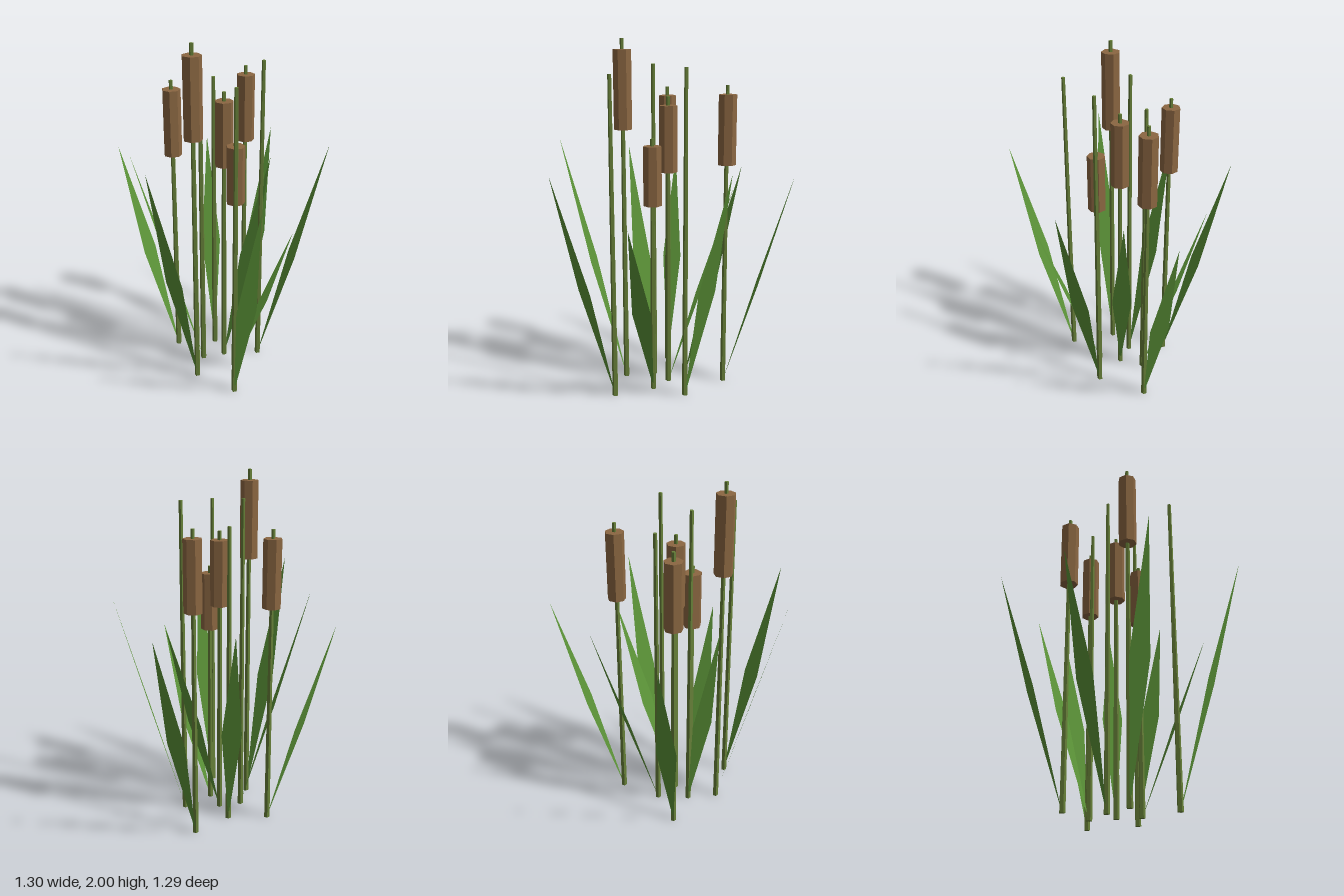
import * as THREE from 'three';

const leafGreen = new THREE.MeshStandardMaterial({ color: 0x5c9438, flatShading: true, side: THREE.DoubleSide });
leafGreen.name = 'leafGreen';
const stemGreen = new THREE.MeshStandardMaterial({ color: 0x667f38, flatShading: true });
stemGreen.name = 'stemGreen';
const seedBrown = new THREE.MeshStandardMaterial({ color: 0x8b6742, flatShading: true });
seedBrown.name = 'seedBrown';

// Each reed: base x and z, stem height, leaf tip [x, y, z], optional seed head [bottom, top]
const REEDS = [
  { x: -0.275, z: 0.045, h: 2.0, tip: [-0.65, 1.44, 0.11], head: [1.5, 1.94] },
  { x: -0.14, z: -0.275, h: 1.72, tip: [-0.24, 1.26, -0.65], head: [1.29, 1.67] },
  { x: 0.285, z: -0.12, h: 1.75, tip: [0.65, 1.26, -0.245], head: [1.31, 1.7] },
  { x: -0.015, z: 0.008, h: 1.69, tip: [0.37, 1.21, 0.008], head: [1.27, 1.64] },
  { x: -0.055, z: 0.137, h: 1.47, tip: [-0.02, 1.05, 0.525], head: [1.1, 1.43] },
  { x: 0.038, z: -0.128, h: 1.735, tip: [0.275, 1.25, -0.435] },
  { x: -0.132, z: -0.053, h: 1.86, tip: [-0.415, 1.35, -0.315] },
  { x: 0.145, z: 0.143, h: 1.855, tip: [0.475, 1.35, 0.352] },
  { x: -0.222, z: 0.303, h: 1.82, tip: [-0.4, 1.33, 0.645] },
];

// Upright cylinder standing between two heights
function upright(name, rTop, rBottom, y0, y1, sides, material) {
  const mesh = new THREE.Mesh(new THREE.CylinderGeometry(rTop, rBottom, y1 - y0, sides), material);
  mesh.position.y = (y0 + y1) / 2;
  mesh.name = name;
  return mesh;
}

// Flat pointed blade, widest halfway from the stem foot to its tip
function blade(tip) {
  const mid = tip.clone().multiplyScalar(0.5);
  const side = new THREE.Vector3(-tip.z, 0, tip.x).setLength(0.056);
  const left = mid.clone().add(side);
  const right = mid.clone().sub(side);
  const foot = new THREE.Vector3();
  const geometry = new THREE.BufferGeometry().setFromPoints([foot, right, tip, foot, tip, left]);
  geometry.computeVertexNormals();
  const mesh = new THREE.Mesh(geometry, leafGreen);
  mesh.name = 'leaf';
  return mesh;
}

export function createModel() {
  const model = new THREE.Group();
  model.name = 'reedClump';
  for (const { x, z, h, tip, head } of REEDS) {
    const reed = new THREE.Group();
    reed.name = head ? 'reedWithSeedHead' : 'bareReed';
    reed.position.set(x, 0, z);
    reed.add(upright('stem', 0.011, 0.017, 0, h, 5, stemGreen));
    reed.add(blade(new THREE.Vector3(tip[0] - x, tip[1], tip[2] - z)));
    if (head) reed.add(upright('seedHead', 0.052, 0.052, head[0], head[1], 7, seedBrown));
    model.add(reed);
  }
  return model;
}
